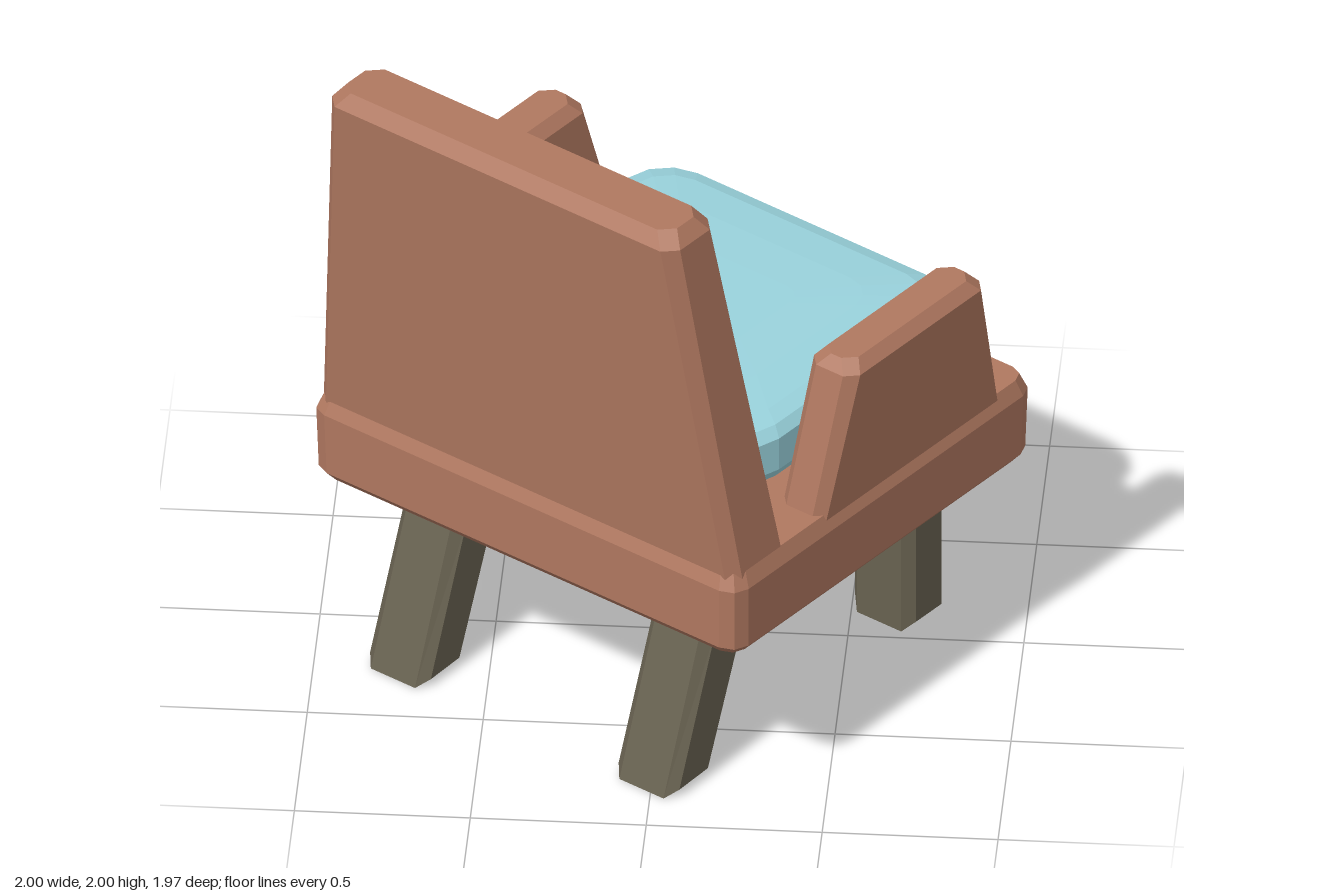
import * as THREE from 'three';

const paint = (color) => new THREE.MeshStandardMaterial({ color, flatShading: true });

// Horizontal rectangle with cut or rounded corners
function section([y, x0, x1, z0, z1, r], steps) {
  const points = [];
  const corners = [[x1 - r, z1 - r], [x0 + r, z1 - r], [x0 + r, z0 + r], [x1 - r, z0 + r]];
  corners.forEach(([cx, cz], q) => {
    for (let i = 0; i <= steps; i++) {
      const a = (q + i / steps) * Math.PI / 2;
      points.push([cx + r * Math.cos(a), y, cz + r * Math.sin(a)]);
    }
  });
  return points;
}

// Closed solid through sections [y, x0, x1, z0, z1, cornerRadius], bottom to top
function loft(name, material, sections, steps = 1) {
  const rings = sections.map((s) => section(s, steps));
  const n = rings[0].length;
  const position = rings.flat(2);
  const index = [];
  for (let k = 0; k < rings.length - 1; k++) {
    for (let i = 0; i < n; i++) {
      const a = k * n + i, b = k * n + (i + 1) % n;
      index.push(a, a + n, b, b, a + n, b + n);
    }
  }
  const top = (rings.length - 1) * n;
  for (let i = 1; i < n - 1; i++) {
    index.push(0, i, i + 1);
    index.push(top, top + i + 1, top + i);
  }
  const geometry = new THREE.BufferGeometry();
  geometry.setAttribute('position', new THREE.Float32BufferAttribute(position, 3));
  geometry.setIndex(index);
  const flat = geometry.toNonIndexed();
  flat.computeVertexNormals();
  const mesh = new THREE.Mesh(flat, material);
  mesh.name = name;
  return mesh;
}

export function createModel() {
  const body = paint(0xb07860);
  const fabric = paint(0x9ad3dd);
  const wood = paint(0x676150);

  const chair = new THREE.Group();
  chair.name = 'armchair';

  // Seat slab with bevelled rims
  chair.add(loft('seatBase', body, [
    [0.562, -0.745, 0.745, -0.655, 0.655, 0.05],
    [0.592, -0.77, 0.77, -0.68, 0.68, 0.06],
    [0.79, -0.775, 0.775, -0.685, 0.685, 0.06],
    [0.84, -0.755, 0.755, -0.665, 0.665, 0.05],
  ], 2));

  // Reclined backrest, narrower towards the top
  chair.add(loft('backrest', body, [
    [0.8, -0.76, 0.76, -0.665, -0.415, 0.035],
    [1.955, -0.63, 0.63, -0.795, -0.58, 0.04],
    [2.0, -0.595, 0.595, -0.765, -0.61, 0.04],
  ]));

  // Cushion: full sides and a softly domed top; [height, inset, corner radius]
  const cushionRings = [
    [0.845, 0.06, 0.12], [0.875, 0.025, 0.14], [0.915, 0, 0.15], [1.02, 0, 0.15],
    [1.05, 0.025, 0.14], [1.066, 0.075, 0.12], [1.076, 0.2, 0.1], [1.081, 0.35, 0.06],
  ];
  chair.add(loft('cushion', fabric, cushionRings.map(
    ([y, d, r]) => [y, -0.58 + d, 0.575 - d, -0.392 + d, 0.658 - d, r]), 3));

  // Armrests lean outwards
  for (const side of [-1, 1]) {
    const span = (inner, outer) => (side > 0 ? [inner, outer] : [-outer, -inner]);
    chair.add(loft(side > 0 ? 'leftArmrest' : 'rightArmrest', body, [
      [0.8, ...span(0.605, 0.76), -0.29, 0.56, 0.03],
      [1.285, ...span(0.638, 0.805), -0.19, 0.43, 0.035],
      [1.32, ...span(0.668, 0.775), -0.16, 0.4, 0.035],
    ]));
  }

  // Leg frames: raked back leg, top rail and straight front leg in one piece
  const outline = [
    [-0.69, 0], [-0.505, 0], [-0.372, 0.345], [-0.32, 0.385], [0.35, 0.385],
    [0.392, 0.35], [0.392, 0], [0.567, 0], [0.567, 0.46], [0.535, 0.525],
    [0.46, 0.57], [-0.455, 0.57], [-0.515, 0.5],
  ].map(([z, y]) => new THREE.Vector2(z, y));
  const bevel = 0.03, width = 0.22;
  const frameGeometry = new THREE.ExtrudeGeometry(new THREE.Shape(outline), {
    depth: width - 2 * bevel, bevelEnabled: true, bevelSegments: 1,
    bevelThickness: bevel, bevelSize: bevel, bevelOffset: -bevel,
  });
  frameGeometry.translate(0, 0, bevel - width / 2);
  frameGeometry.rotateY(-Math.PI / 2);
  for (const side of [-1, 1]) {
    const frame = new THREE.Mesh(frameGeometry, wood);
    frame.name = side > 0 ? 'leftLegFrame' : 'rightLegFrame';
    frame.position.x = side * 0.45 + 0.012;
    chair.add(frame);
  }

  // The chair stands turned away at an angle
  chair.rotation.y = THREE.MathUtils.degToRad(145.7);
  const model = new THREE.Group();
  model.add(chair);
  return model;
}
